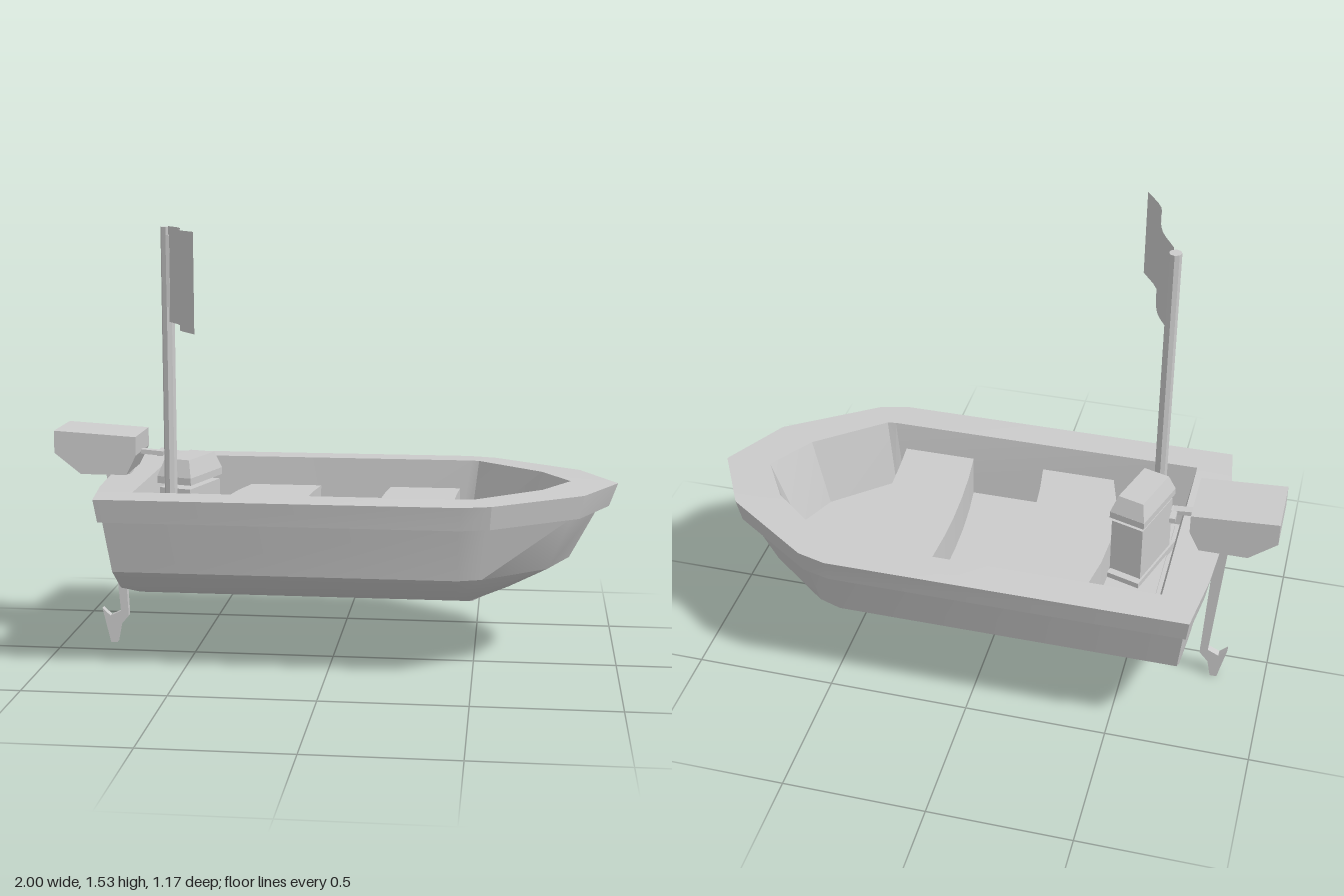
import * as THREE from 'three';
import { toCreasedNormals } from 'three/addons/utils/BufferGeometryUtils.js';

const MID = -0.105; // z of the boat's centre line
const FLOOR = 0.38;
const mat = new THREE.MeshStandardMaterial({ color: 0xcccccc });
const thin = new THREE.MeshStandardMaterial({ color: 0xcccccc, side: THREE.DoubleSide });

// Full closed outline from half an outline of [x, halfWidth], stern to bow
function outline(y, half) {
  const left = half.map(([x, h]) => [x, y, MID + h]);
  const right = half.slice(1, -1).reverse().map(([x, h]) => [x, y, MID - h]);
  return [...left, ...right];
}

// Skin through a stack of outlines
function loft(rows, crease) {
  const n = rows[0].length, index = [];
  for (let r = 0; r < rows.length - 1; r++) {
    for (let i = 0; i < n; i++) {
      const a = r * n + i, b = r * n + (i + 1) % n;
      index.push(a, b, b + n, a, b + n, a + n);
    }
  }
  const g = new THREE.BufferGeometry();
  g.setAttribute('position', new THREE.Float32BufferAttribute(rows.flat(2), 3));
  g.setIndex(index);
  return toCreasedNormals(g, crease);
}

// Side profile in x and y, extruded across z
function slab(points, width) {
  const shape = new THREE.Shape(points.map(([x, y]) => new THREE.Vector2(x, y)));
  return new THREE.ExtrudeGeometry(shape, { depth: width, bevelEnabled: false })
    .translate(0, 0, -width / 2);
}

// Box whose top is narrowed
function taperedBox(w, h, d, sx, sz) {
  const g = new THREE.BoxGeometry(w, h, d), p = g.attributes.position;
  for (let i = 0; i < p.count; i++) {
    if (p.getY(i) > 0) p.setXYZ(i, p.getX(i) * sx, p.getY(i), p.getZ(i) * sz);
  }
  g.computeVertexNormals();
  return g;
}

function add(parent, name, geometry, x = 0, y = 0, z = 0, material = mat) {
  const m = new THREE.Mesh(geometry, material);
  m.name = name;
  m.position.set(x, y, z);
  parent.add(m);
  return m;
}

export function createModel() {
  const boat = new THREE.Group();
  boat.name = 'motorboat';

  // Hull, from the keel up to the rim
  const keel = outline(0.19, [[-0.72, 0], [-0.72, 0], [-0.72, 0], [0.46, 0], [0.47, 0], [0.48, 0], [0.49, 0]]);
  const bilge = outline(0.28, [[-0.74, 0], [-0.735, 0.15], [-0.725, 0.285], [0.44, 0.285], [0.51, 0.25], [0.62, 0.12], [0.665, 0]]);
  const chine = outline(0.362, [[-0.755, 0], [-0.745, 0.2], [-0.73, 0.388], [0.45, 0.388], [0.53, 0.36], [0.75, 0.185], [0.83, 0]]);
  const hullTop = outline(0.55, [[-0.785, 0], [-0.775, 0.23], [-0.75, 0.435], [0.45, 0.435], [0.55, 0.41], [0.83, 0.215], [0.93, 0]]);
  add(boat, 'hull', loft([keel, bilge, chine, hullTop], 0.6));

  // Overhanging rim
  const rimBottom = outline(0.55, [[-0.8, 0], [-0.787, 0.24], [-0.76, 0.46], [0.455, 0.46], [0.555, 0.433], [0.855, 0.225], [0.965, 0]]);
  const rimTop = outline(0.632, [[-0.815, 0], [-0.8, 0.25], [-0.77, 0.478], [0.46, 0.478], [0.56, 0.45], [0.87, 0.235], [0.995, 0]]);
  const inner = [[-0.66, 0], [-0.66, 0.2], [-0.66, 0.36], [0.47, 0.36], [0.5, 0.355], [0.73, 0.165], [0.83, 0]];
  const innerTop = outline(0.636, inner);
  add(boat, 'rim', loft([hullTop, rimBottom, rimTop, innerTop], 0.3));

  // Inner walls and floor
  const floorHalf = [[-0.615, 0], [-0.615, 0.2], [-0.615, 0.345], [0.44, 0.345], [0.47, 0.335], [0.67, 0.155], [0.735, 0]];
  const floorMid = floorHalf.map(([x]) => [x, 0]);
  add(boat, 'interior', loft([innerTop, outline(FLOOR, floorHalf), outline(FLOOR, floorMid)], 0.3));

  // Floor panel at the stern
  add(boat, 'floorPanel', new THREE.BoxGeometry(0.23, 0.012, 0.65), -0.485, FLOOR + 0.004, MID);

  // Two benches with bowed edges: x of the back and front edges at the sides and middle
  for (const [name, back, backMid, front, frontMid] of [
    ['aftBench', -0.36, -0.42, -0.095, -0.125],
    ['foreBench', 0.17, 0.145, 0.43, 0.415],
  ]) {
    const w = 0.356;
    const s = new THREE.Shape();
    s.moveTo(back, -w);
    s.lineTo(front, -w);
    s.quadraticCurveTo(2 * frontMid - front, 0, front, w);
    s.lineTo(back, w);
    s.quadraticCurveTo(2 * backMid - back, 0, back, -w);
    const g = new THREE.ExtrudeGeometry(s, { depth: 0.16, bevelEnabled: false, curveSegments: 6 });
    add(boat, name, g.rotateX(-Math.PI / 2), 0, FLOOR - 0.01, MID);
  }

  // Storage box beside the pole
  const box = new THREE.Group();
  box.name = 'storageBox';
  box.position.set(-0.512, 0, -0.012);
  box.rotation.y = -0.3;
  boat.add(box);
  add(box, 'boxBody', new THREE.BoxGeometry(0.12, 0.24, 0.225), 0, 0.5, 0);
  add(box, 'boxBase', new THREE.BoxGeometry(0.125, 0.03, 0.28), -0.005, FLOOR + 0.015, 0);
  add(box, 'lidEdge', new THREE.BoxGeometry(0.132, 0.025, 0.238), 0, 0.648, 0);
  add(box, 'lid', taperedBox(0.132, 0.06, 0.238, 0.72, 0.8), 0, 0.69, 0);

  // Flag pole and waving flag
  add(boat, 'flagPole', toCreasedNormals(new THREE.CylinderGeometry(0.022, 0.022, 1.15, 8), 0.5), -0.54, 0.957, 0.185);
  add(boat, 'flagSleeve', new THREE.BoxGeometry(0.012, 0.24, 0.03), -0.532, 1.385, 0.205);
  const wave = new THREE.CatmullRomCurve3(
    [[-0.53, 0.212], [-0.475, 0.31], [-0.452, 0.4], [-0.44, 0.48], [-0.375, 0.583]]
      .map(([x, z]) => new THREE.Vector3(x, 0, z)));
  const flag = new THREE.PlaneGeometry(1, 0.32, 12, 1), fp = flag.attributes.position;
  for (let i = 0; i < fp.count; i++) {
    const p = wave.getPoint(fp.getX(i) + 0.5);
    fp.setXYZ(i, p.x, fp.getY(i), p.z);
  }
  flag.computeVertexNormals();
  add(boat, 'flag', flag, 0, 1.375, 0, thin);

  // Outboard motor
  const motor = new THREE.Group();
  motor.name = 'outboardMotor';
  motor.position.z = MID;
  boat.add(motor);
  add(motor, 'motorCover', slab([[-0.905, 0.645], [-0.74, 0.645], [-0.705, 0.715], [-0.705, 0.782], [-1, 0.8], [-1, 0.72]], 0.22), 0, 0, -0.005);
  add(motor, 'mountBracket', slab([[-0.83, 0.65], [-0.83, 0.6], [-0.785, 0.48], [-0.745, 0.54], [-0.745, 0.65]], 0.06));
  add(motor, 'driveShaft', slab([[-0.792, 0.11], [-0.765, 0.12], [-0.79, 0.65], [-0.836, 0.65]], 0.026));
  add(motor, 'propellerFin', slab([[-0.832, 0], [-0.808, 0], [-0.795, 0.065], [-0.765, 0.1], [-0.765, 0.13], [-0.79, 0.12], [-0.832, 0.1], [-0.862, 0.128], [-0.846, 0.06]], 0.026));
  const tiller = add(motor, 'tiller', new THREE.BoxGeometry(0.09, 0.016, 0.03), -0.67, 0.712, 0);
  tiller.rotation.z = -0.08;
  add(motor, 'tillerGrip', new THREE.BoxGeometry(0.02, 0.018, 0.075), -0.637, 0.708, -0.022);

  return boat;
}
